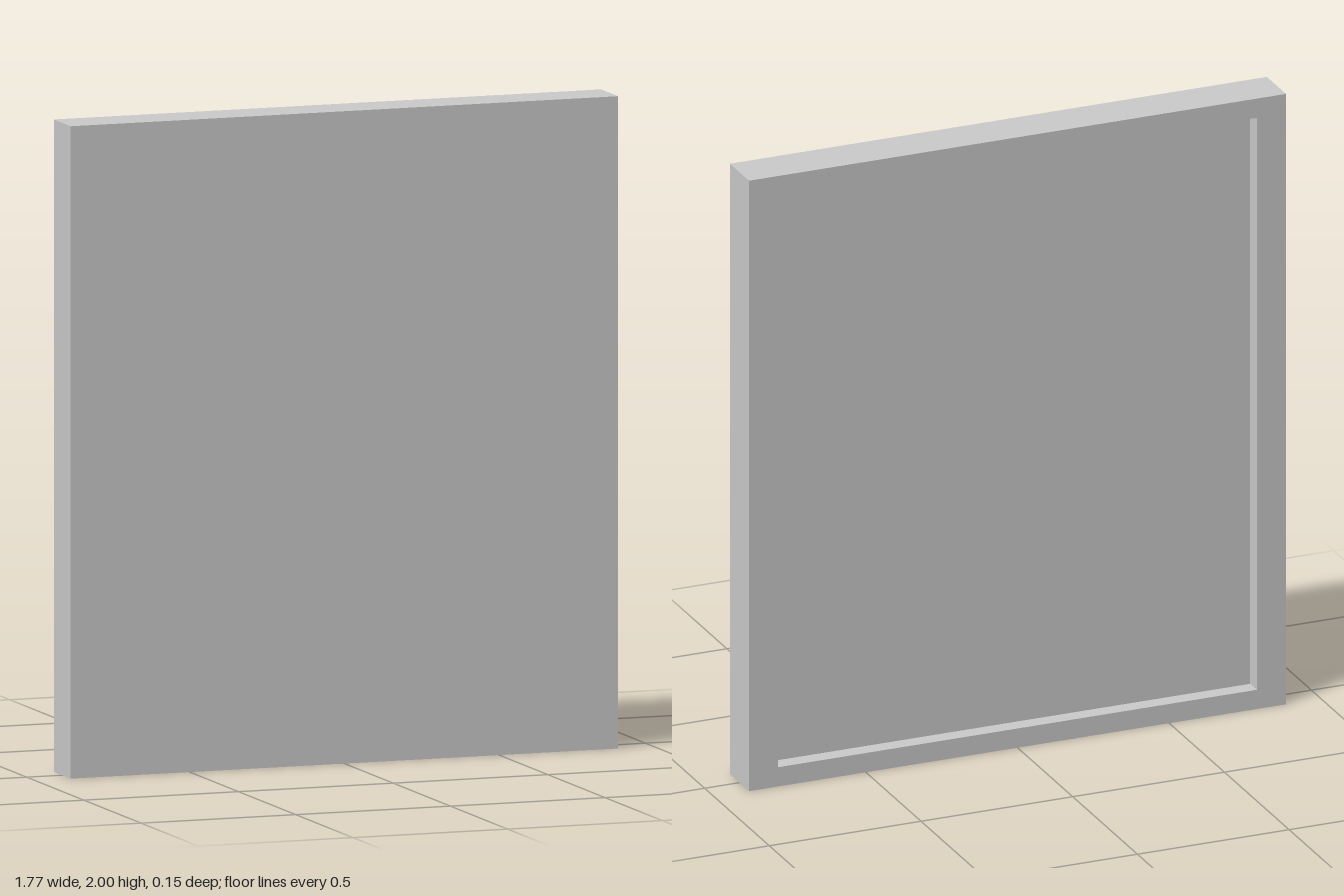
import * as THREE from 'three';

const WIDTH = 1.77, HEIGHT = 2, DEPTH = 0.148;
const SIDE_RIM = 0.096, END_RIM = 0.063, RECESS = 0.052;

// Four corners of an upright rectangle, counter-clockwise seen from +z.
function rectangle(insetX, insetY, z) {
  const x = WIDTH / 2 - insetX;
  const low = insetY, high = HEIGHT - insetY;
  return [[-x, low, z], [x, low, z], [x, high, z], [-x, high, z]];
}

// Flat-shaded mesh from quads, each with corners counter-clockwise from outside.
function quadMesh(name, quads, material) {
  const points = quads.flatMap(([a, b, c, d]) => [a, b, c, a, c, d]);
  const geometry = new THREE.BufferGeometry();
  geometry.setAttribute('position', new THREE.Float32BufferAttribute(points.flat(), 3));
  geometry.computeVertexNormals();
  const mesh = new THREE.Mesh(geometry, material);
  mesh.name = name;
  return mesh;
}

// Band of four quads joining one rectangle to the next.
function band(a, b) {
  return a.map((_, i) => {
    const j = (i + 1) % 4;
    return [b[i], b[j], a[j], a[i]];
  });
}

export function createModel() {
  const group = new THREE.Group();
  group.name = 'recessedPanel';
  const material = new THREE.MeshStandardMaterial({ color: 0xcccccc, flatShading: true });

  const front = rectangle(0, 0, DEPTH / 2);
  const back = rectangle(0, 0, -DEPTH / 2);
  const opening = rectangle(SIDE_RIM, END_RIM, -DEPTH / 2);
  const floor = rectangle(SIDE_RIM, END_RIM, -DEPTH / 2 + RECESS);

  group.add(
    // Plain front face
    quadMesh('frontPanel', [front], material),
    // Outer edges, raised rim on the back and inner walls of the recess
    quadMesh('frame', [...band(front, back), ...band(back, opening), ...band(opening, floor)], material),
    // Sunken rear face
    quadMesh('recessFloor', [[...floor].reverse()], material)
  );
  return group;
}
